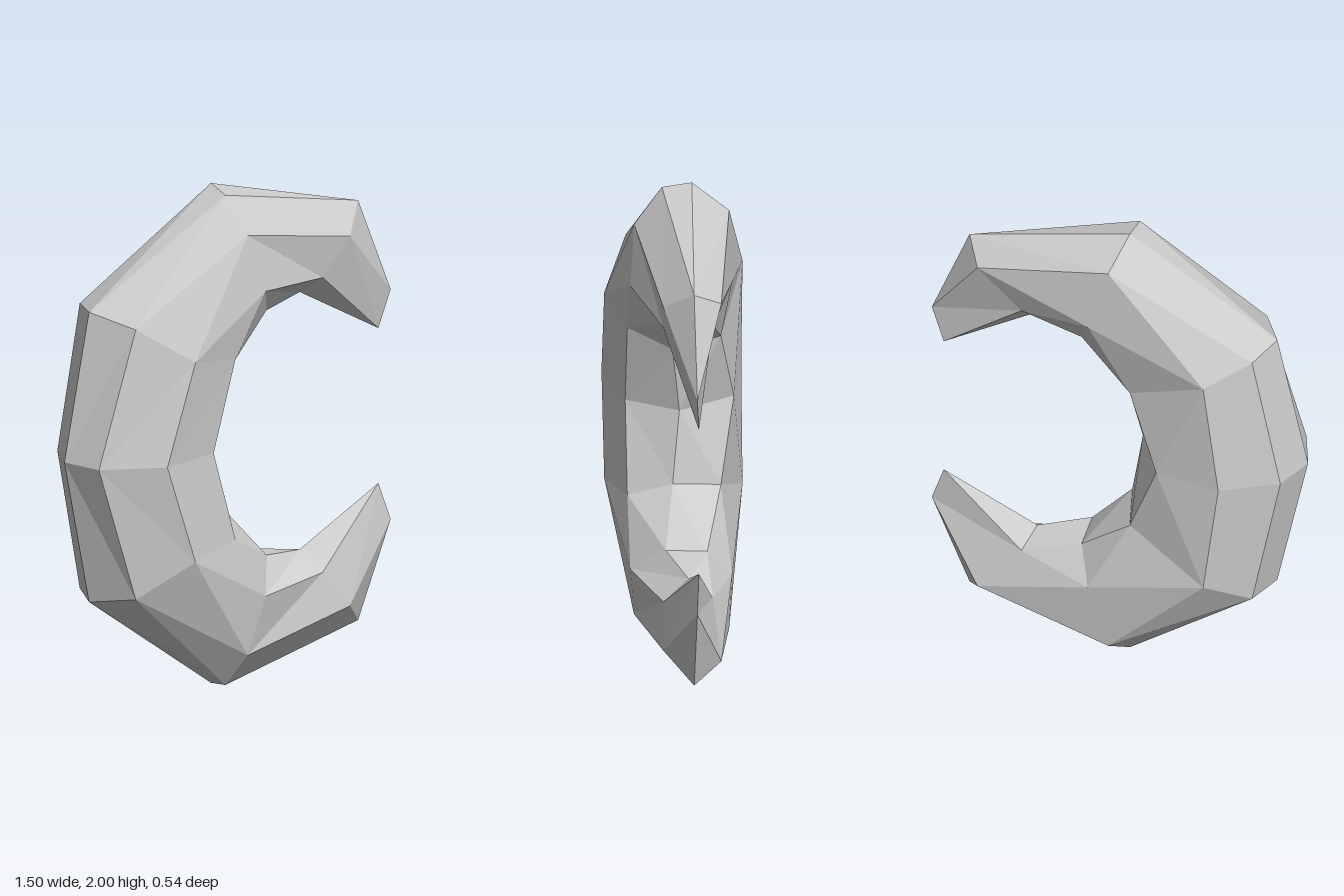
import * as THREE from 'three';

// Cross-sections of the upper arm, from the middle of the arc to the pointed end.
// Each runs outer edge -> front -> inner edge -> back.
const outerEnd = [0.6, 1.84, 0], innerEnd = [0.33, 1.515, 0];
const tipOuter = [0.75, 1.46, 0], tipInner = [0.7, 1.31, -0.01];
const sections = [
  [[-0.75, 1, -0.01], [-0.7, 1, 0.155], [-0.46, 1, 0.27], [-0.2, 1, 0.2],
    [-0.09, 1, 0], [-0.2, 1, -0.22], [-0.46, 1, -0.27], [-0.68, 1, -0.165]],
  [[-0.63, 1.58, -0.02], [-0.54, 1.54, 0.17], [-0.33, 1.4, 0.27], [-0.1, 1.36, 0.2],
    [-0.04, 1.29, 0.03], [-0.08, 1.32, -0.16], [-0.4, 1.48, -0.27], [-0.57, 1.57, -0.175]],
  [[-0.05, 2, -0.045], [-0.06, 1.98, 0.07], [-0.03, 1.84, 0.18], [0.04, 1.61, 0.2],
    [0.13, 1.49, 0.07], [0.13, 1.5, -0.09], [0.08, 1.63, -0.19], [0, 1.9, -0.185]],
  [outerEnd, outerEnd, [0.49, 1.74, 0.11], [0.37, 1.59, 0.1],
    innerEnd, innerEnd, [0.37, 1.58, -0.09], [0.54, 1.77, -0.11]],
  [tipOuter, tipOuter, tipOuter, tipInner, tipInner, tipInner, tipInner, tipOuter],
];

// Skins the sections; the mirrored arm is reflected about y = 1 with reversed winding.
function armGeometry(mirrored) {
  const positions = [];
  const addTriangle = (a, b, c) => {
    if (a === b || b === c || a === c) return;
    for (const [x, y, z] of mirrored ? [a, c, b] : [a, b, c]) {
      positions.push(x, mirrored ? 2 - y : y, z);
    }
  };
  for (let i = 0; i < sections.length - 1; i++) {
    const low = sections[i], high = sections[i + 1];
    for (let j = 0; j < low.length; j++) {
      const k = (j + 1) % low.length;
      addTriangle(low[j], low[k], high[k]);
      addTriangle(low[j], high[k], high[j]);
    }
  }
  const geometry = new THREE.BufferGeometry();
  geometry.setAttribute('position', new THREE.Float32BufferAttribute(positions, 3));
  geometry.computeVertexNormals();
  return geometry;
}

export function createModel() {
  const grey = new THREE.MeshStandardMaterial({ color: 0xcccccc, flatShading: true });
  grey.name = 'light grey';
  const model = new THREE.Group();
  model.name = 'crescent';

  // Two matching arms meet at the middle of the arc
  for (const mirrored of [false, true]) {
    const arm = new THREE.Mesh(armGeometry(mirrored), grey);
    arm.name = mirrored ? 'lowerArm' : 'upperArm';
    model.add(arm);
  }
  return model;
}
